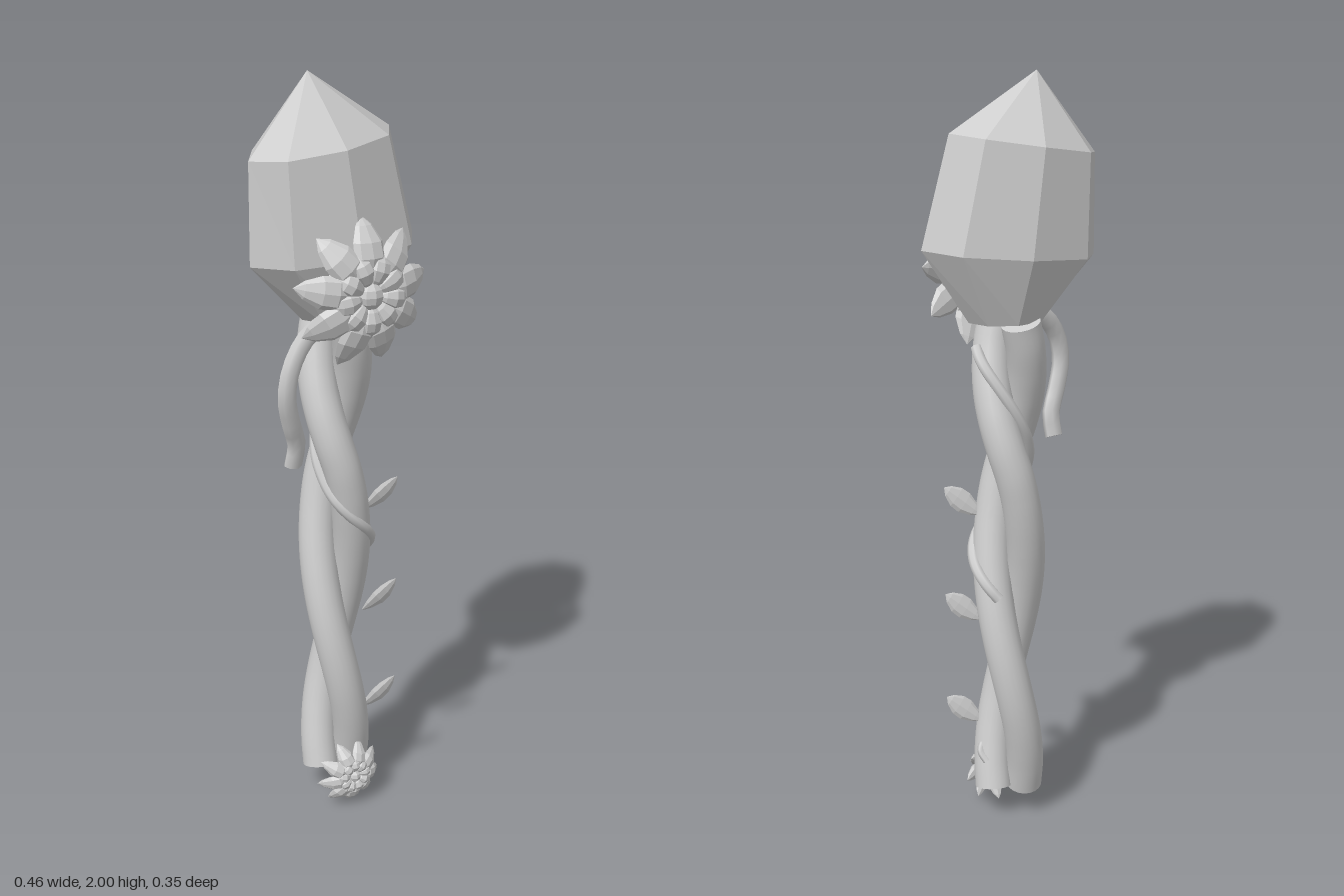
import * as THREE from 'three';

const stone = new THREE.MeshStandardMaterial({ color: 0xcccccc });
stone.name = 'pale grey';

const STRAND = 0.05;  // strand thickness (radius)
const AXIS_Z = -0.027;

function mesh(geometry, name) {
  const m = new THREE.Mesh(geometry, stone);
  m.name = name;
  return m;
}

function faceted(geometry) {
  const g = geometry.toNonIndexed();
  g.computeVertexNormals();
  return g;
}

// Round tube through points, closed at both ends
function cappedTube(points, radius, name, steps, sides) {
  const group = new THREE.Group();
  group.name = name;
  const curve = new THREE.CatmullRomCurve3(points);
  group.add(mesh(new THREE.TubeGeometry(curve, steps, radius, sides), name + 'Body'));
  for (const t of [0, 1]) {
    const cap = mesh(new THREE.CircleGeometry(radius, sides), name + 'End');
    cap.position.copy(curve.getPoint(t));
    const out = curve.getTangent(t).multiplyScalar(t ? 1 : -1);
    cap.quaternion.setFromUnitVectors(new THREE.Vector3(0, 0, 1), out);
    group.add(cap);
  }
  return group;
}

// Points winding down around the shaft axis; angle 0 faces the front
function helix(yTop, yBottom, angleAt, rx, rz, count) {
  return Array.from({ length: count + 1 }, (_, i) => {
    const y = yTop + (yBottom - yTop) * i / count;
    const a = angleAt(y);
    return new THREE.Vector3(rx(y, a) * Math.sin(a), y, AXIS_Z + rz(y, a) * Math.cos(a));
  });
}

// Heights of successive quarter turns; the twist is tighter near the top
const quarterTurns = [1.43, 1.2, 0.98, 0.67, 0.36, 0.07];

function strandAngle(y) {
  let i = 0;
  while (i < quarterTurns.length - 2 && y < quarterTurns[i + 1]) i++;
  const t = (quarterTurns[i] - y) / (quarterTurns[i] - quarterTurns[i + 1]);
  return (i + t - 2) * Math.PI / 2;
}

// Distance from the axis to a band stretched around both strands
function bandRadius(y, a) {
  const d = a - strandAngle(y);
  const s = Math.abs(Math.sin(d)), c = Math.abs(Math.cos(d)), R = 0.045;
  if (STRAND * c <= R * s) return STRAND / s;
  return R * c + Math.sqrt(STRAND * STRAND - R * R * s * s);
}

// Pointed lens along +y, arched and drooping in z
function petalGeometry(length, width, thick, arch, drop) {
  const profile = [[0.12, 0], [0.6, 0.18], [0.97, 0.43], [0.93, 0.65], [0.52, 0.87], [0, 1]]
    .map(([x, y]) => new THREE.Vector2(x, y));
  const g = new THREE.LatheGeometry(profile, 8);
  const p = g.attributes.position;
  for (let i = 0; i < p.count; i++) {
    const t = p.getY(i);
    p.setXYZ(i, p.getX(i) * width / 2, t * length,
      p.getZ(i) * thick / 2 + arch * Math.sin(Math.PI * t) - drop * t * t);
  }
  return faceted(g);
}

// Two rings of petals round a bud
function flower(name, turn) {
  const group = new THREE.Group();
  group.name = name;
  const rings = [
    { part: 'outerPetal', geo: petalGeometry(0.165, 0.086, 0.042, 0.012, 0.042), start: 0.022, z: -0.003, shift: 0 },
    { part: 'innerPetal', geo: petalGeometry(0.1, 0.056, 0.036, 0.012, 0.02), start: 0.02, z: 0.006, shift: 0.5 },
  ];
  const n = 9;
  for (const r of rings) {
    for (let i = 0; i < n; i++) {
      const a = turn + (i + r.shift) * 2 * Math.PI / n;
      const petal = mesh(r.geo, r.part);
      petal.rotation.z = a;
      petal.position.set(-Math.sin(a) * r.start, Math.cos(a) * r.start, r.z);
      group.add(petal);
    }
  }
  const bud = mesh(faceted(new THREE.SphereGeometry(0.034, 8, 6)), 'flowerBud');
  bud.scale.z = 0.8;
  bud.position.z = 0.006;
  group.add(bud);
  return group;
}

// Leaning eight-sided crystal: every ring has its own centre, size and tilt
function crystal() {
  const rings = [
    { y: 1.40, tilt: 0, cx: 0.01, rx: 0, rz: 0 },
    { y: 1.40, tilt: 0, cx: 0.01, rx: 0.1, rz: 0.08 },
    { y: 1.568, tilt: 0.018, cx: 0, rx: 0.231, rz: 0.145 },
    { y: 1.83, tilt: 0.028, cx: -0.036, rx: 0.193, rz: 0.13 },
    { y: 2, tilt: 0, cx: -0.07, rx: 0, rz: 0 },
  ];
  const g = new THREE.LatheGeometry(rings.map(r => new THREE.Vector2(1, r.y)), 8);
  const p = g.attributes.position;
  for (let i = 0; i < p.count; i++) {
    const r = rings[i % rings.length];
    const sx = p.getX(i), sz = p.getZ(i);
    p.setXYZ(i, r.cx + sx * r.rx, r.y + sx * r.tilt, -0.03 + sz * r.rz);
  }
  return mesh(faceted(g), 'crystal');
}

export function createModel() {
  const model = new THREE.Group();
  model.name = 'crystalStaff';
  model.add(crystal());

  // Two thick strands twisted into the shaft
  for (const phase of [0, Math.PI]) {
    const path = helix(1.4, 0.09, y => strandAngle(y) + phase, () => 0.043, () => 0.054, 20);
    model.add(cappedTube(path, STRAND, 'shaftStrand', 96, 20));
  }

  // Thin vine winding once around the shaft, lying close to it
  const vine = helix(1.33, 0.67, y => Math.PI / 2 + (1.3 - y) * 2 * Math.PI / 0.56, bandRadius, bandRadius, 32);
  model.add(cappedTube(vine, 0.015, 'vine', 96, 8));
  model.add(cappedTube([new THREE.Vector3(0.06, 0.23, 0.0), new THREE.Vector3(0.078, 0.2, -0.015),
    new THREE.Vector3(0.068, 0.175, -0.035)], 0.01, 'vineStub', 8, 6));

  // Curled, flattened tendril hanging beside the upper flower
  const flat = 0.65;
  const tendril = [[-0.05, 1.42, 0.05], [-0.13, 1.385, 0.066], [-0.185, 1.32, 0.086], [-0.2, 1.25, 0.09],
    [-0.182, 1.175, 0.078], [-0.16, 1.115, 0.062], [-0.165, 1.055, 0.052]]
    .map(([x, y, z]) => new THREE.Vector3(x, y, z / flat));
  const curl = cappedTube(tendril, 0.025, 'tendril', 14, 7);
  curl.scale.z = flat;
  model.add(curl);

  // Leaves on the left side of the shaft
  const leafShape = petalGeometry(0.125, 0.06, 0.022, 0.006, 0);
  for (const y of [0.875, 0.575, 0.272]) {
    const leaf = mesh(leafShape, 'leaf');
    leaf.position.set(0.06, y, 0.022);
    leaf.rotation.set(0.25, 0, -0.85);
    model.add(leaf);
  }

  // Large flower under the crystal and a small one at the foot
  const upper = flower('upperFlower', 0);
  upper.position.set(0, 1.49, 0.143);
  model.add(upper);
  const lower = flower('lowerFlower', Math.PI);
  lower.scale.set(0.52, 0.52, 0.75);
  lower.position.set(0, 0.097, 0.077);
  model.add(lower);
  return model;
}
